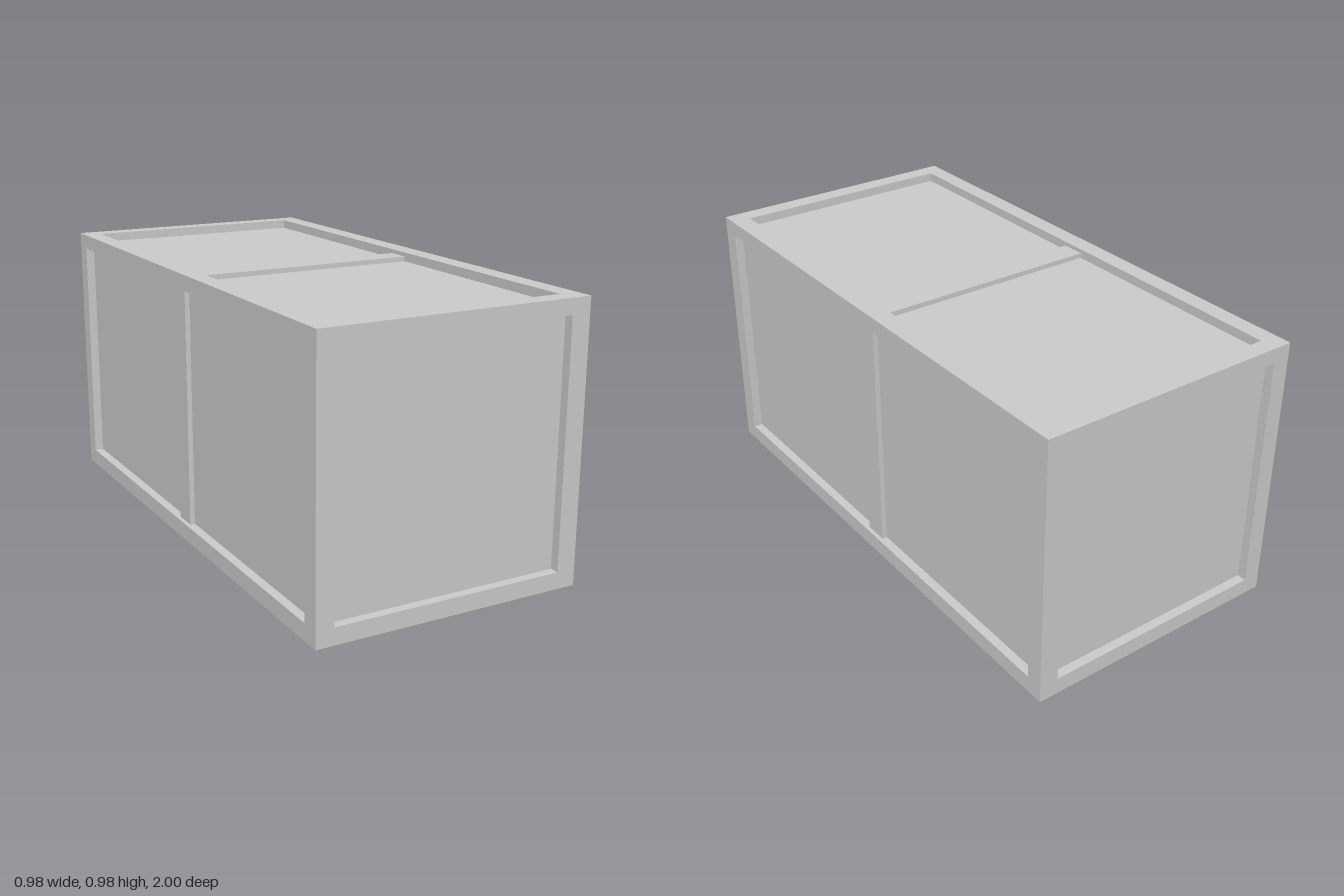
import * as THREE from 'three';

export function createModel() {
  const group = new THREE.Group();
  const material = new THREE.MeshStandardMaterial({ color: 0xcccccc, flatShading: true });

  // Box spanning [min, max] on each axis
  const addBox = (name, [x0, x1], [y0, y1], [z0, z1]) => {
    const mesh = new THREE.Mesh(new THREE.BoxGeometry(x1 - x0, y1 - y0, z1 - z0), material);
    mesh.position.set((x0 + x1) / 2, (y0 + y1) / 2, (z0 + z1) / 2);
    mesh.name = name;
    group.add(mesh);
  };

  // Outer faces and frame openings
  const X = [-0.49, 0.49], Y = [0, 0.98], Z = [-1, 1];
  const openX = [-0.425, 0.42], openY = [0.06, 0.925], openZ = [-0.937, 0.933];
  const inset = ([a, b], d) => [a + d, b - d];
  const beams = (outer, open) => [[outer[0], open[0]], [open[1], outer[1]]];
  const beamsX = beams(X, openX), beamsY = beams(Y, openY), beamsZ = beams(Z, openZ);

  // Frame: long rails, end rails and corner posts
  for (const x of beamsX) for (const y of beamsY) addBox('longRail', x, y, Z);
  for (const y of beamsY) for (const z of beamsZ) addBox('endRail', openX, y, z);
  for (const x of beamsX) for (const z of beamsZ) addBox('cornerPost', x, openY, z);

  // Body whose faces form the recessed panels
  const panelDepth = 0.033;
  addBox('panelBody', inset(X, panelDepth), inset(Y, panelDepth), inset(Z, panelDepth));

  // Middle bars on the sides, top and bottom, set slightly below the frame
  const barDepth = 0.015, barZ = [-0.05, 0.04];
  const [left, right] = [X[0], X[1]], [bottom, top] = [Y[0], Y[1]];
  addBox('sideBar', [left + barDepth, left + panelDepth], openY, barZ);
  addBox('sideBar', [right - panelDepth, right - barDepth], openY, barZ);
  addBox('bottomBar', openX, [bottom + barDepth, bottom + panelDepth], barZ);
  addBox('topBar', openX, [top - panelDepth, top - barDepth], barZ);

  return group;
}
